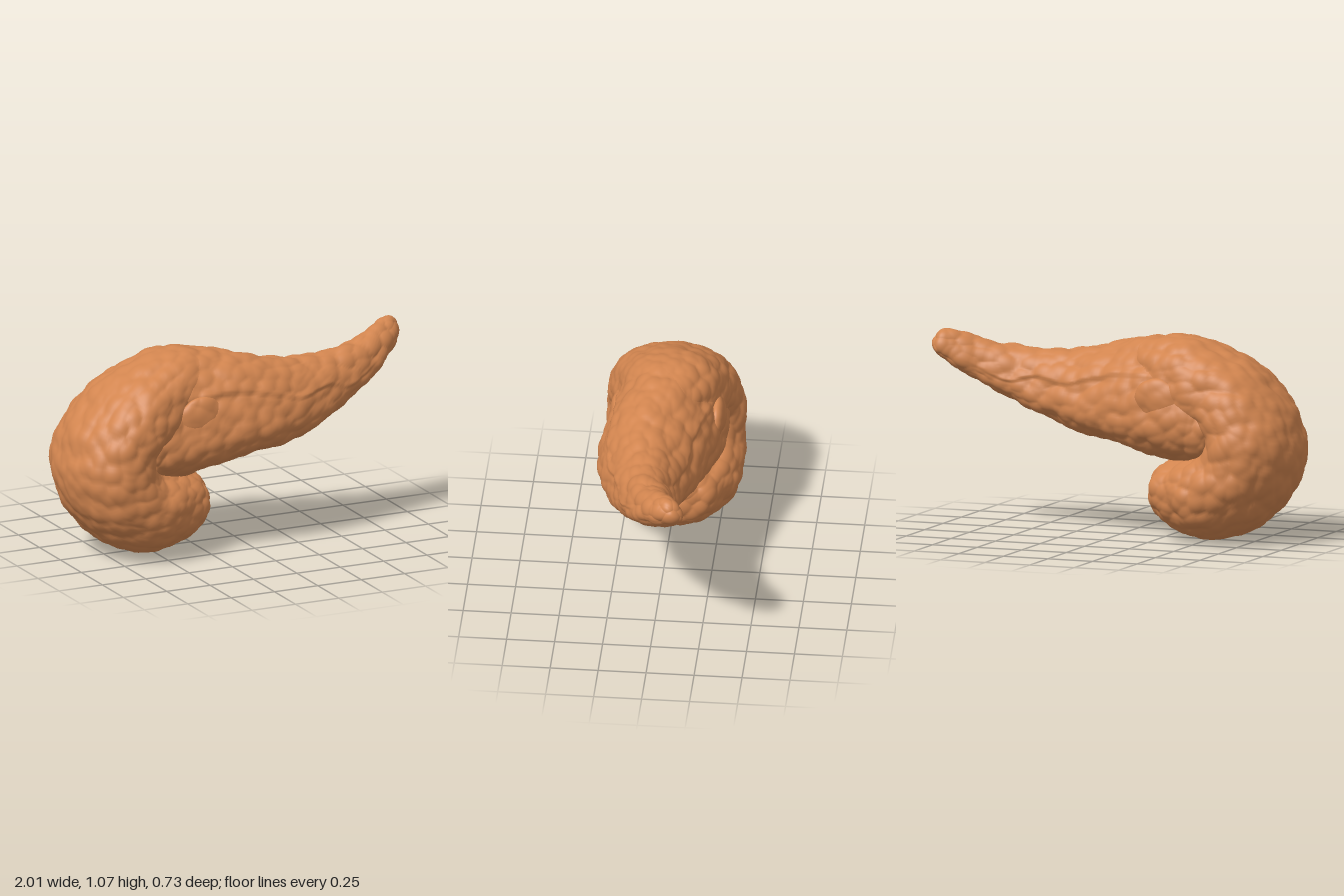
import * as THREE from 'three';

// Repeatable value in 0..1 for a grid cell
function hash(x, y, z, k) {
  const s = Math.sin(x * 127.1 + y * 311.7 + z * 74.7 + k * 53.3) * 43758.5453;
  return s - Math.floor(s);
}

// Rounded pebble pattern: near 1 in the middle of a lobule, low in the seams
function lobules(p, size) {
  const cell = [p.x, p.y, p.z].map((v) => Math.floor(v / size));
  let best = 9;
  for (let i = -1; i <= 1; i++) for (let j = -1; j <= 1; j++) for (let k = -1; k <= 1; k++) {
    const [x, y, z] = [cell[0] + i, cell[1] + j, cell[2] + k];
    const dx = x + hash(x, y, z, 1) - p.x / size;
    const dy = y + hash(x, y, z, 2) - p.y / size;
    const dz = z + hash(x, y, z, 3) - p.z / size;
    best = Math.min(best, dx * dx + dy * dy + dz * dz);
  }
  return 1 - best;
}

const lumps = (p) => 0.02 * (lobules(p, 0.075) - 0.72) + 0.018 * (lobules(p, 0.17) - 0.72);

// Push every vertex along its normal by a rule
function displace(geometry, rule) {
  geometry.computeVertexNormals();
  const pos = geometry.attributes.position;
  const nor = geometry.attributes.normal;
  const p = new THREE.Vector3();
  const n = new THREE.Vector3();
  for (let i = 0; i < pos.count; i++) {
    p.fromBufferAttribute(pos, i);
    n.fromBufferAttribute(nor, i);
    p.addScaledVector(n, rule(p));
    pos.setXYZ(i, p.x, p.y, p.z);
  }
}

// Closed loft. Station: [outer x, outer y, front z, inner x, inner y, back z]
function loft(stations, taper, rule) {
  const outer = new THREE.CatmullRomCurve3(stations.map((s) => new THREE.Vector3(s[0], s[1], s[2])));
  const inner = new THREE.CatmullRomCurve3(stations.map((s) => new THREE.Vector3(s[3], s[4], s[5])));
  const rows = 190, cols = 150, cap = 0.08;
  const points = [], index = [];
  const round = (v) => Math.sign(v) * Math.abs(v) ** 0.9;
  for (let i = 0; i <= rows; i++) {
    const t = (1 - Math.cos((Math.PI * i) / rows)) / 2;
    const k = Math.max(0, (cap - t) / cap, (t - 1 + cap) / cap);
    const f = Math.sqrt(Math.max(0, 1 - k * k));
    const P = outer.getPoint(t), Q = inner.getPoint(t);
    const mid = P.clone().add(Q).multiplyScalar(0.5);
    const half = P.clone().sub(Q).multiplyScalar(0.5 * f);
    for (let j = 0; j < cols; j++) {
      const a = (2 * Math.PI * j) / cols;
      const s = round(Math.cos(a)), w = round(Math.sin(a));
      points.push(mid.x + half.x * s, mid.y + half.y * s, mid.z + half.z * w * (1 - taper * s));
      if (i === rows) continue;
      const A = i * cols + j, B = i * cols + ((j + 1) % cols);
      index.push(A, B, A + cols, B, B + cols, A + cols);
    }
  }
  const geometry = new THREE.BufferGeometry();
  geometry.setAttribute('position', new THREE.Float32BufferAttribute(points, 3));
  geometry.setIndex(index);
  displace(geometry, rule);
  // Draw each end ring together into one point
  const pos = geometry.attributes.position;
  for (const start of [0, rows * cols]) {
    const c = new THREE.Vector3();
    for (let j = 0; j < cols; j++) c.add(new THREE.Vector3().fromBufferAttribute(pos, start + j));
    c.divideScalar(cols);
    for (let j = 0; j < cols; j++) pos.setXYZ(start + j, c.x, c.y, c.z);
  }
  geometry.computeVertexNormals();
  return geometry;
}

export function createModel() {
  const group = new THREE.Group();
  const tissue = new THREE.MeshStandardMaterial({ color: 0xd2854f });
  tissue.name = 'orange brown tissue';
  const add = (name, geometry) => {
    const mesh = new THREE.Mesh(geometry, tissue);
    mesh.name = name;
    group.add(mesh);
  };

  // Curled head, from the cleft lower lobe round to the top of the body
  add('curledHead', loft([
    [-0.2, 0.19, 0.14, -0.2, 0.35, -0.14],
    [-0.25, 0.105, 0.215, -0.25, 0.39, -0.215],
    [-0.38, 0.035, 0.285, -0.34, 0.425, -0.285],
    [-0.57, 0, 0.345, -0.42, 0.445, -0.345],
    [-0.81, 0.105, 0.36, -0.48, 0.47, -0.36],
    [-0.945, 0.27, 0.36, -0.51, 0.49, -0.36],
    [-1, 0.47, 0.36, -0.52, 0.52, -0.36],
    [-0.95, 0.67, 0.355, -0.52, 0.55, -0.35],
    [-0.805, 0.865, 0.345, -0.49, 0.57, -0.325],
    [-0.6, 0.99, 0.31, -0.44, 0.58, -0.305],
    [-0.37, 1.06, 0.25, -0.34, 0.6, -0.27],
    [-0.15, 1.025, 0.22, -0.2, 0.62, -0.2],
    [0, 0.95, 0.18, -0.05, 0.66, -0.12],
  ], 0.06, (p) => {
    const cleft = THREE.MathUtils.smoothstep(p.x, -0.5, -0.3) * (p.y < 0.5 ? 1 : 0);
    return lumps(p) - 0.018 * cleft * Math.exp(-((p.z / 0.025) ** 2));
  }));

  // Tapering body and tail, with an overlapping fold along both sides
  const fold = new THREE.SplineCurve([[-0.6, 0.8], [-0.15, 0.86], [0.1, 0.82], [0.27, 0.78],
    [0.45, 0.81], [0.6, 0.78], [0.8, 0.87], [1.05, 1.0]].map((p) => new THREE.Vector2(...p)));
  const foldLine = fold.getPoints(120);
  const foldHeight = (x) => foldLine.reduce((a, b) => (Math.abs(b.x - x) < Math.abs(a.x - x) ? b : a)).y;
  add('taperingBody', loft([
    [-0.67, 0.84, 0.24, -0.65, 0.44, -0.24],
    [-0.54, 0.97, 0.28, -0.53, 0.4, -0.28],
    [-0.38, 1.05, 0.3, -0.38, 0.395, -0.285],
    [-0.2, 1.045, 0.32, -0.2, 0.425, -0.27],
    [0, 1.005, 0.33, 0, 0.475, -0.215],
    [0.2, 0.955, 0.3, 0.2, 0.51, -0.165],
    [0.4, 0.94, 0.24, 0.4, 0.575, -0.12],
    [0.6, 0.95, 0.165, 0.6, 0.67, -0.11],
    [0.78, 0.99, 0.085, 0.81, 0.785, -0.14],
    [0.92, 1.03, -0.01, 0.95, 0.88, -0.185],
    [1, 1.03, -0.065, 1.005, 0.925, -0.185],
  ], 0.27, (p) => {
    const d = p.y - foldHeight(p.x);
    const step = THREE.MathUtils.smoothstep(d, -0.008, 0.008) - 0.5;
    const fade = 1 - THREE.MathUtils.smoothstep(p.x, 0.55, 0.85);
    return lumps(p) + 0.012 * fade * step * Math.exp(-Math.abs(d) / 0.08);
  }));

  // Oval lobes beside the inner curl, front and back
  for (const [name, z] of [['frontOvalLobe', 0.265], ['backOvalLobe', -0.25]]) {
    const lobe = new THREE.SphereGeometry(1, 48, 32);
    lobe.scale(0.13, 0.11, 0.045);
    lobe.translate(-0.31, 0.75, z);
    displace(lobe, (p) => 0.5 * lumps(p));
    lobe.computeVertexNormals();
    add(name, lobe);
  }
  return group;
}
